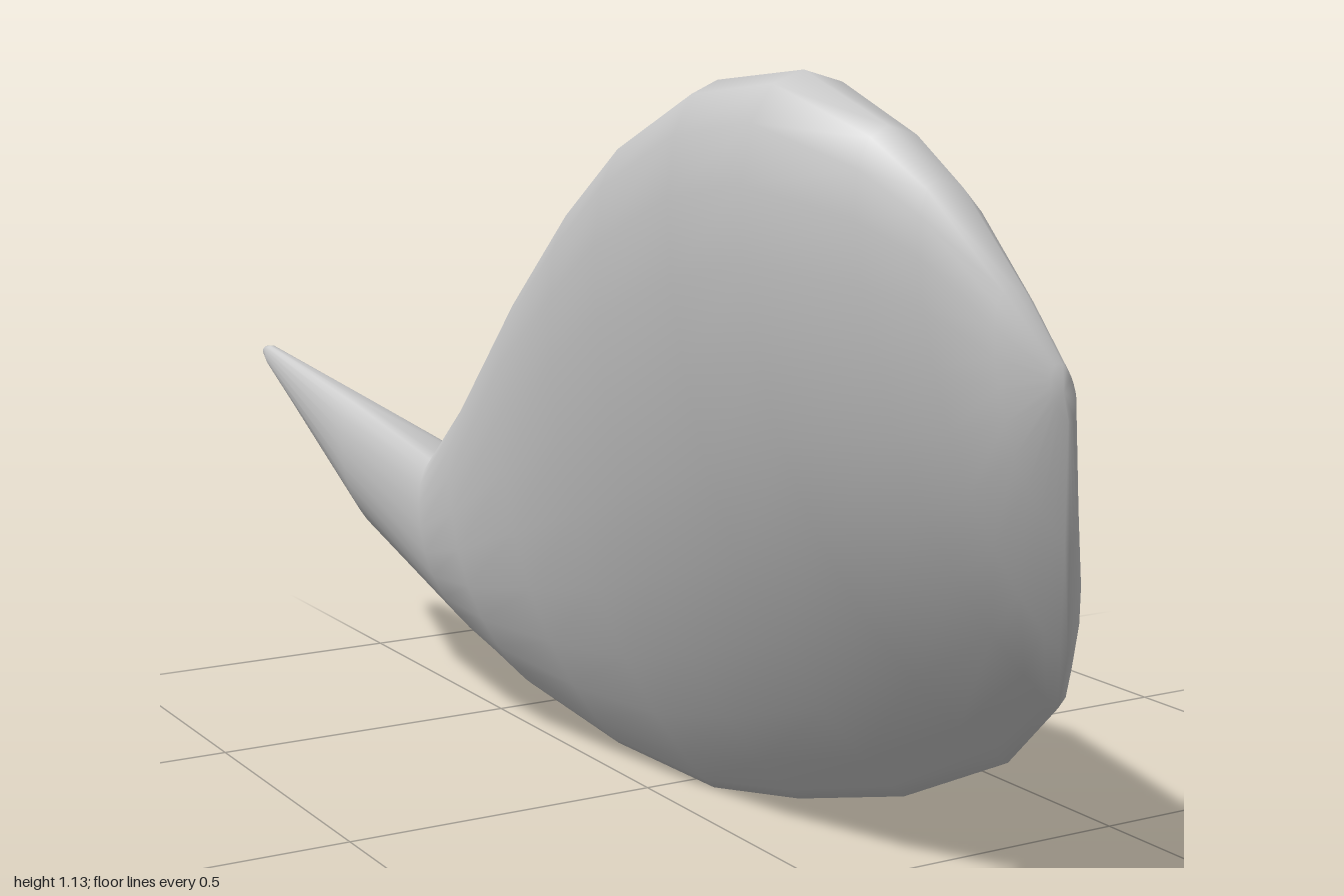
import * as THREE from 'three';

// Cross-sections from the blunt front to the tail tip:
// z, top y, keel y, top x, keel x, smallest x, largest x
const SECTIONS = [
  [1.0, 0.8, 0.73, -0.03, -0.01, -0.04, 0.0],
  [0.97, 0.89, 0.57, -0.075, 0.02, -0.1, 0.035],
  [0.9, 1.01, 0.41, -0.13, 0.08, -0.16, 0.105],
  [0.83, 1.07, 0.32, -0.155, 0.125, -0.2, 0.155],
  [0.68, 1.13, 0.2, -0.175, 0.165, -0.265, 0.21],
  [0.48, 1.11, 0.1, -0.175, 0.14, -0.25, 0.255],
  [0.25, 1.025, 0.035, -0.155, 0.115, -0.23, 0.275],
  [0.05, 0.915, 0.0, -0.135, 0.09, -0.195, 0.25],
  [-0.17, 0.755, 0.02, -0.115, 0.045, -0.168, 0.17],
  [-0.35, 0.565, 0.085, -0.12, -0.02, -0.165, 0.09],
  [-0.46, 0.46, 0.14, -0.128, -0.05, -0.168, 0.038],
  [-0.72, 0.52, 0.29, -0.16, -0.13, -0.19, -0.08],
  [-0.98, 0.583, 0.54, -0.21, -0.207, -0.222, -0.196],
  [-1.0, 0.58, 0.56, -0.21, -0.208, -0.218, -0.2],
];
const AROUND = 24;

// Closed smooth loops: a skewed oval, rounded on top and narrowing to a keel
function bodyGeometry() {
  const points = [], index = [];
  const addRing = ([z, yT, yB, xT, xB, xMin, xMax]) => {
    const midX = (xT + xB) / 2, midY = (yT + yB) / 2;
    const skew = (xT - xB) / 2, half = (yT - yB) / 2;
    for (let j = 0; j < AROUND; j++) {
      const a = (j / AROUND) * Math.PI * 2;
      const u = Math.cos(a), s = Math.sin(a);
      const outer = s >= 0;
      const reach = outer ? xMax - midX : midX - xMin;
      // bulge of a skewed half oval that just touches the wanted x
      const bulge = Math.sqrt(Math.max(reach * reach - skew * skew, 0.0001));
      // fuller on the upper outer side, flatter towards the keel
      const power = outer ? (u < 0 ? 1.3 : 0.7) : (u < 0 ? 1.7 : 1);
      const w = Math.sign(s) * Math.pow(Math.abs(s), power);
      points.push(midX + skew * u + bulge * w, midY + half * u, z);
    }
  };
  SECTIONS.forEach(addRing);

  for (let i = 0; i < SECTIONS.length - 1; i++) {
    for (let j = 0; j < AROUND; j++) {
      const k = (j + 1) % AROUND;
      const a = i * AROUND + j, b = i * AROUND + k, c = a + AROUND, d = b + AROUND;
      index.push(a, b, c, b, d, c);
    }
  }

  // Closed front and tip, each a fan around one shared point
  const addCap = (row, front) => {
    const [z, yT, yB, xT, xB] = SECTIONS[row];
    const centre = points.length / 3;
    points.push((xT + xB) / 2, (yT + yB) / 2, z);
    for (let j = 0; j < AROUND; j++) {
      const a = row * AROUND + j, b = row * AROUND + ((j + 1) % AROUND);
      if (front) index.push(centre, b, a);
      else index.push(centre, a, b);
    }
  };
  addCap(0, true);
  addCap(SECTIONS.length - 1, false);

  const geometry = new THREE.BufferGeometry();
  geometry.setAttribute('position', new THREE.Float32BufferAttribute(points, 3));
  geometry.setIndex(index);
  geometry.computeVertexNormals();
  return geometry;
}

export function createModel() {
  const group = new THREE.Group();
  group.name = 'curvedTeardrop';
  const body = new THREE.Mesh(
    bodyGeometry(),
    new THREE.MeshStandardMaterial({ color: 0xcccccc })
  );
  body.name = 'body';
  group.add(body);
  return group;
}
